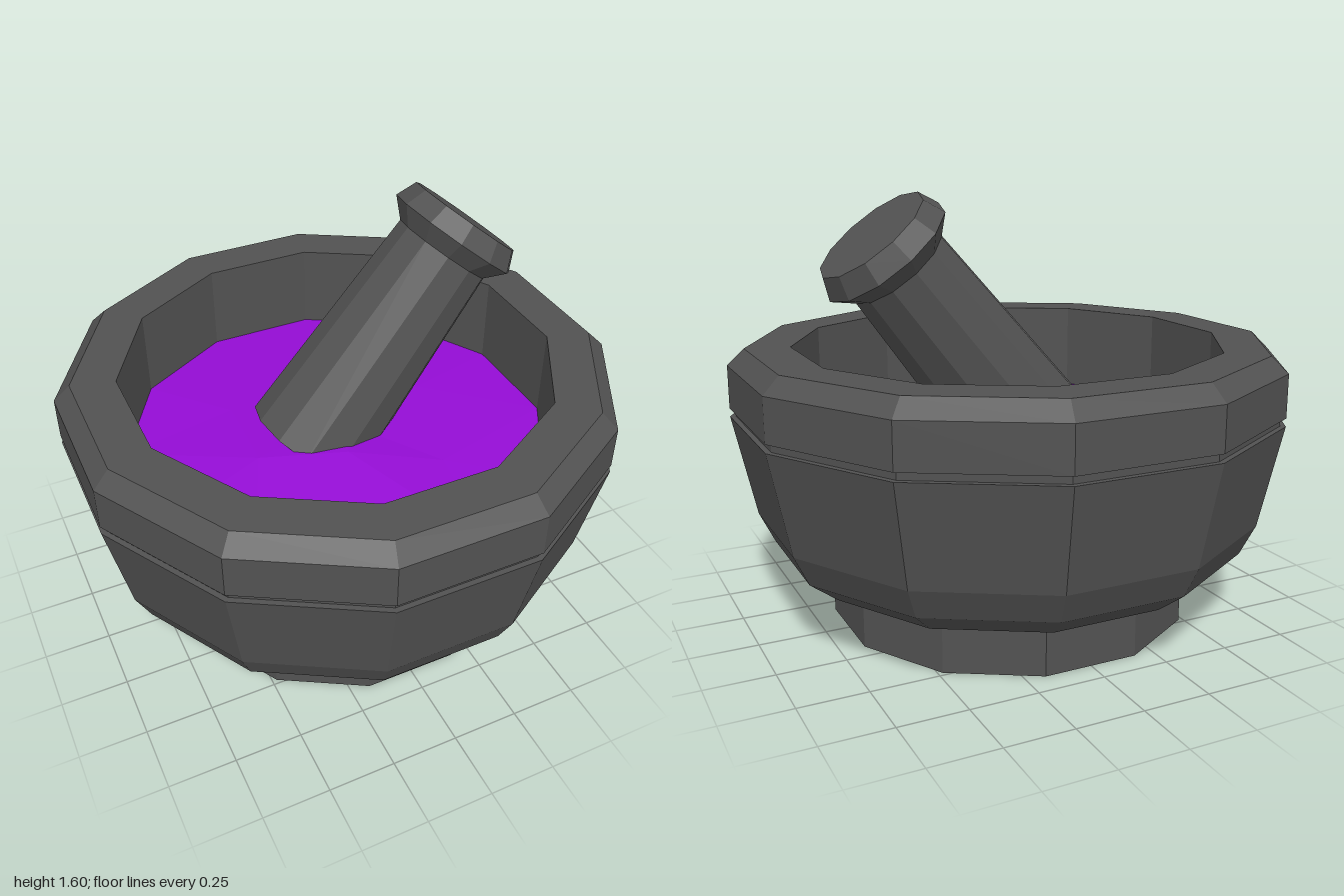
import * as THREE from 'three';

const SIDES = 12;
const CORNER = 1 / Math.cos(Math.PI / SIDES); // face distance -> corner radius

export function createModel() {
  const stone = new THREE.MeshStandardMaterial({ color: 0x525252, flatShading: true });
  stone.name = 'dark stone';
  const purple = new THREE.MeshStandardMaterial({ color: 0x950dd6, flatShading: true });
  purple.name = 'purple potion';

  const model = new THREE.Group();
  model.name = 'mortarAndPestle';

  const add = (name, geometry, material) => {
    const mesh = new THREE.Mesh(geometry, material);
    mesh.name = name;
    model.add(mesh);
    return mesh;
  };
  const lathe = (profile, scale, phase) => new THREE.LatheGeometry(
    profile.map(([r, y]) => new THREE.Vector2(r * scale, y)), SIDES, phase);

  // Foot under the bowl
  add('foot', lathe([[0, 0], [0.66, 0], [0.66, 0.18], [0, 0.18]], CORNER, Math.PI / SIDES), stone);

  // Bowl: rounded belly, narrow groove, bevelled rim and straight inner wall
  add('bowl', lathe([
    [0, 0.18], [0.66, 0.18], [0.76, 0.21], [0.865, 0.295], [0.92, 0.41], [1, 0.79],
    [0.98, 0.79], [0.98, 0.82], [1, 0.82], [1, 0.98], [0.94, 1.04],
    [0.78, 1.04], [0.78, 0.42], [0, 0.42],
  ], CORNER, Math.PI / SIDES), stone);

  // Liquid: level at the wall, uneven low mound in the middle
  const outer = [];
  for (let k = 0; k < SIDES; k++) {
    const a = (k + 0.5) * 2 * Math.PI / SIDES;
    outer.push([0.78 * CORNER * Math.sin(a), 0.7, 0.78 * CORNER * Math.cos(a)]);
  }
  const inner = [
    [0.27, 0.72, 0.35], [0.4, 0.72, -0.1], [0.04, 0.73, -0.3],
    [-0.34, 0.73, -0.26], [-0.36, 0.75, 0.08], [-0.05, 0.76, 0.2],
  ];
  const centre = [0, 0.75, 0];
  const corners = [];
  inner.forEach((p, j) => {
    const next = inner[(j + 1) % inner.length];
    const [a, b, c] = [0, 1, 2].map((n) => outer[(2 * j + n) % SIDES]);
    corners.push(a, b, p, b, c, p, c, next, p, p, next, centre);
  });
  const surface = new THREE.BufferGeometry();
  surface.setAttribute('position', new THREE.Float32BufferAttribute(corners.flat(), 3));
  surface.computeVertexNormals();
  add('liquid', surface, purple);

  // Pestle: shaft widening downwards, with a bevelled knob, leaning to +x
  const pestle = add('pestle', lathe([
    [0, -1.05], [0.243, -1.05], [0.192, -0.145], [0.257, -0.078], [0.222, 0], [0, 0],
  ], 1, 0), stone);
  pestle.position.set(0.559, 1.46, -0.08);
  pestle.rotation.set(-0.025, 0, -0.683);

  return model;
}
